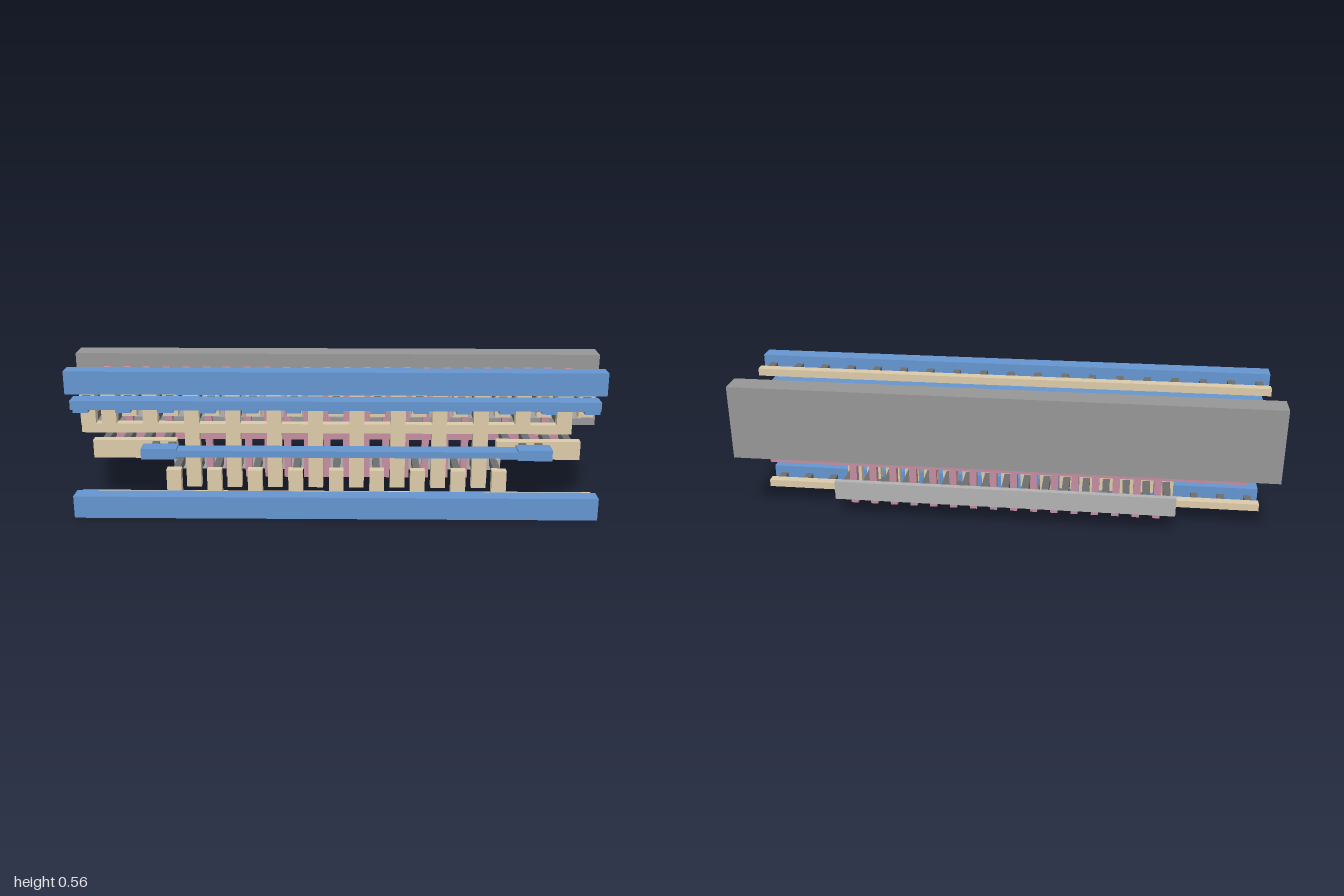
import * as THREE from 'three';

const mat = (color) => new THREE.MeshStandardMaterial({ color });

export function createModel() {
  const model = new THREE.Group();
  const blue = mat(0x6495d0), tan = mat(0xdccbaa), pink = mat(0xc48da0);
  const dark = mat(0x6e6e6e), wellGrey = mat(0x969696), padGrey = mat(0xb2b2b2);

  // Box given by its limits on each axis
  function slab(name, material, x0, x1, y0, y1, [z0, z1]) {
    const mesh = new THREE.Mesh(new THREE.BoxGeometry(x1 - x0, y1 - y0, z1 - z0), material);
    mesh.position.set((x0 + x1) / 2, (y0 + y1) / 2, (z0 + z1) / 2);
    mesh.name = name;
    model.add(mesh);
  }

  // Layer depths, back to front
  const WELL = [-0.195, -0.105], DIFF = [-0.128, -0.105], POLY = [-0.106, -0.077];
  const LONG_POST = [-0.105, 0.057], INNER = [0.057, 0.092];
  const SHORT_POST = [0.092, 0.134], OUTER = [0.134, 0.197];
  const pitch = 0.0765, half = 0.0275, post = 0.0135;
  const fingerX = (i) => -0.88 + i * pitch;
  const columnX = (i) => fingerX(i) - pitch / 2;

  const column = (name, x, y0, y1) => slab(name, tan, x - half, x + half, y0, y1, INNER);
  const peg = (name, x, y, depth) => slab(name, dark, x - post, x + post, y, y + 0.028, depth);

  // Back plates
  slab('backPlate', wellGrey, -1, 1, 0.272, 0.553, WELL);
  slab('upperInsetPlate', padGrey, -0.947, 0.947, 0.3, 0.478, [-0.128, -0.1045]);
  slab('lowerBackPlate', padGrey, -0.643, 0.643, 0.085, 0.158, DIFF);

  // Pink comb: crossbar with vertical fingers, the middle ones reaching lower
  slab('combBar', pink, -0.893, 0.893, 0.218, 0.275, POLY);
  for (let i = 0; i < 24; i++) {
    const x = fingerX(i);
    const low = i >= 4 && i <= 19;
    slab('combFinger', pink, x - 0.0135, x + 0.0135, 0.27, 0.502, POLY);
    if (low) slab('combLowerFinger', pink, x - 0.0135, x + 0.0135, 0.062, 0.218, POLY);
  }

  // Upper columns, alternating between hanging and bar-mounted, with their posts
  slab('innerCrossbar', tan, -0.945, 0.87, 0.3, 0.335, INNER);
  for (let i = 0; i < 25; i++) {
    const x = columnX(i);
    if (i % 2 === 0) {
      column('upperColumn', x, i === 0 ? 0.335 : 0.365, 0.475);
      const rows = i === 0 ? [0.44, 0.381, 0.322] : [0.44, 0.381];
      rows.forEach((y) => peg('upperPost', x, y, LONG_POST));
      peg('secondRailPost', x, 0.417, SHORT_POST);
      slab('secondRailTab', blue, x - half, x + half, 0.409, 0.42, OUTER);
    } else {
      column('crossbarColumn', x, 0.335, 0.465);
      [0.43, 0.373, 0.312].forEach((y) => peg('upperPost', x, y, LONG_POST));
    }
  }

  // Lower columns: short ones on the bottom rail, long ones under the crossbar
  for (let i = 4; i <= 20; i++) {
    const x = columnX(i);
    if (i % 2 === 0) column('bottomRailColumn', x, 0.057, 0.152);
    else column('longColumn', x, 0.085, 0.3);
    peg('lowerPost', x, 0.107, LONG_POST);
  }

  // End blocks joined to the comb bar and to the middle rail
  for (const s of [-1, 1]) {
    const a = s * 0.595, b = s * 0.907;
    slab('endBlock', tan, Math.min(a, b), Math.max(a, b), 0.2, 0.27, INNER);
    for (let i = 0; i < 4; i++) peg('endBlockPost', s * (0.87 - i * pitch), 0.232, [-0.1065, 0.057]);
  }
  for (const x of [-0.67, -0.61, 0.69, 0.75]) peg('middleRailPost', x, 0.238, SHORT_POST);
  slab('middleRail', blue, -0.58, 0.66, 0.241, 0.265, OUTER);
  slab('middleRailLeftPad', blue, 0.66, 0.785, 0.232, 0.272, OUTER);
  slab('middleRailRightPad', blue, -0.71, -0.58, 0.232, 0.272, OUTER);

  // Second rail
  slab('secondRail', blue, -0.955, 0.948, 0.42, 0.454, OUTER);

  // Wide top and bottom rails, each on an inner strip with a row of posts
  for (const [name, y0, y1, s0] of [['top', 0.478, 0.562, 0.505], ['bottom', 0, 0.085, 0.029]]) {
    slab(name + 'Rail', blue, -0.97, 0.965, y0, y1, OUTER);
    slab(name + 'InnerStrip', tan, -0.97, 0.965, s0, s0 + 0.028, INNER);
    for (let i = 0; i < 19; i++) peg(name + 'RailPost', -0.932 + i * 0.1032, s0, SHORT_POST);
  }
  return model;
}
